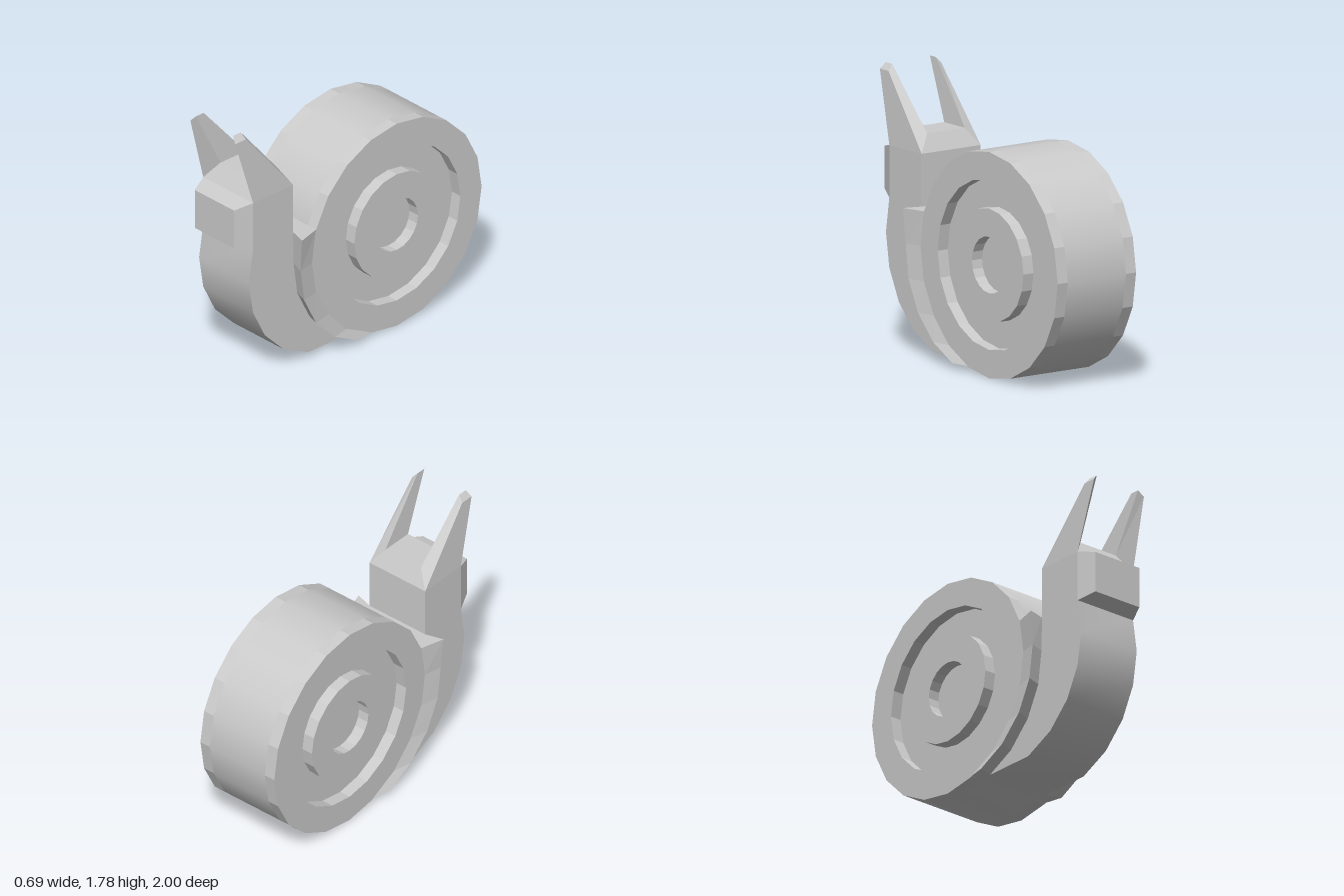
import * as THREE from 'three';
import { toCreasedNormals } from 'three/addons/utils/BufferGeometryUtils.js';

const flat = new THREE.MeshStandardMaterial({ color: 0xcccccc, flatShading: true });
const smooth = new THREE.MeshStandardMaterial({ color: 0xcccccc });

// Closed solid through rings of [x, y, z]; each ring is counter-clockwise seen from the last ring's end
function loft(rings) {
  const n = rings[0].length, last = (rings.length - 1) * n, index = [];
  for (let i = 0; i < last; i += n) {
    for (let j = 0; j < n; j++) {
      const k = (j + 1) % n;
      index.push(i + j, i + k, i + n + k, i + j, i + n + k, i + n + j);
    }
  }
  for (let j = 1; j < n - 1; j++) {
    index.push(0, j + 1, j, last, last + j, last + j + 1);
  }
  const g = new THREE.BufferGeometry();
  g.setAttribute('position', new THREE.Float32BufferAttribute(rings.flat(2), 3));
  g.setIndex(index);
  g.computeVertexNormals();
  return g;
}

const mirror = rings => rings.map(r => r.map(([x, y, z]) => [-x, y, z]).reverse());

export function createModel() {
  const group = new THREE.Group();
  const add = (name, geometry, material = flat) => {
    const mesh = new THREE.Mesh(geometry, material);
    mesh.name = name;
    group.add(mesh);
    return mesh;
  };

  // Shell: smooth tread between two faceted, stepped sides
  const R = 0.72, inner = 0.225, outer = 0.303, W = 0.228;
  const tread = new THREE.CylinderGeometry(R, R, inner * 2, 20, 1, true).rotateZ(Math.PI / 2);
  add('shellTread', tread, smooth).position.set(0, R, -0.28);
  const steps = [[R, inner], [R, outer], [0.54, outer], [0.54, inner], [0.36, inner],
    [0.36, outer], [0.18, outer], [0.18, inner], [0, inner]].map(p => new THREE.Vector2(...p));
  for (const s of [1, -1]) {
    const side = new THREE.LatheGeometry(steps, 20).rotateZ(-s * Math.PI / 2);
    add(s > 0 ? 'leftShellSide' : 'rightShellSide', side).position.set(0, R, -0.28);
  }

  // Body and neck: side profile (z, y) extruded across the width
  const profile = [[-0.055, 0.04], [0.40, 0.04], [0.61, 0.14], [0.77, 0.30], [0.87, 0.50],
    [0.905, 0.72], [0.87, 0.945], [0.87, 1.28], [0.53, 1.28], [0.53, 0.945], [0.40, 0.945],
    [0.32, 0.72], [0.29, 0.50], [0.20, 0.30], [0.08, 0.16]];
  const body = new THREE.ExtrudeGeometry(
    new THREE.Shape(profile.map(p => new THREE.Vector2(...p))),
    { depth: W * 2, bevelEnabled: false });
  body.translate(0, 0, -W).rotateY(-Math.PI / 2);
  add('body', toCreasedNormals(body, 0.5), smooth);

  // Crown of the head
  const rect = (x, y, zBack, zFront) =>
    [[x, y, zFront], [x, y, zBack], [-x, y, zBack], [-x, y, zFront]];
  add('headTop', loft([rect(W, 1.28, 0.53, 0.87), rect(0.145, 1.39, 0.585, 0.80)]));

  // Snout
  const face = (x, y0, y1, z) => [[-x, y0, z], [x, y0, z], [x, y1, z], [-x, y1, z]];
  add('snout', loft([face(W, 0.945, 1.28, 0.87), face(0.18, 0.98, 1.25, 0.985)]));

  // Feelers rising from the crown's sloped sides
  const feeler = [
    [[W, 1.28, 0.87], [W, 1.28, 0.53], [0.145, 1.39, 0.585], [0.145, 1.39, 0.80]],
    [[0.205, 1.74, 1.0], [0.205, 1.74, 0.91], [0.17, 1.78, 0.92], [0.17, 1.78, 0.985]],
  ];
  // Flared lips around the shell opening, bottom to top: y, edge x, edge z, shell z
  const lip = [[0.04, 0.33, 0.07, -0.055], [0.14, 0.33, 0.27, 0.145], [0.30, 0.33, 0.43, 0.30],
    [0.50, 0.33, 0.53, 0.405], [0.72, 0.33, 0.56, 0.44], [0.945, 0.347, 0.565, 0.405],
  ].map(([y, x, z, back]) =>
    [[x, y, z], [outer, y, back], [0.226, y, back], [0.226, y, z - 0.035]]);
  add('leftFeeler', loft(feeler));
  add('rightFeeler', loft(mirror(feeler)));
  add('leftShellLip', loft(lip));
  add('rightShellLip', loft(mirror(lip)));

  return group;
}
